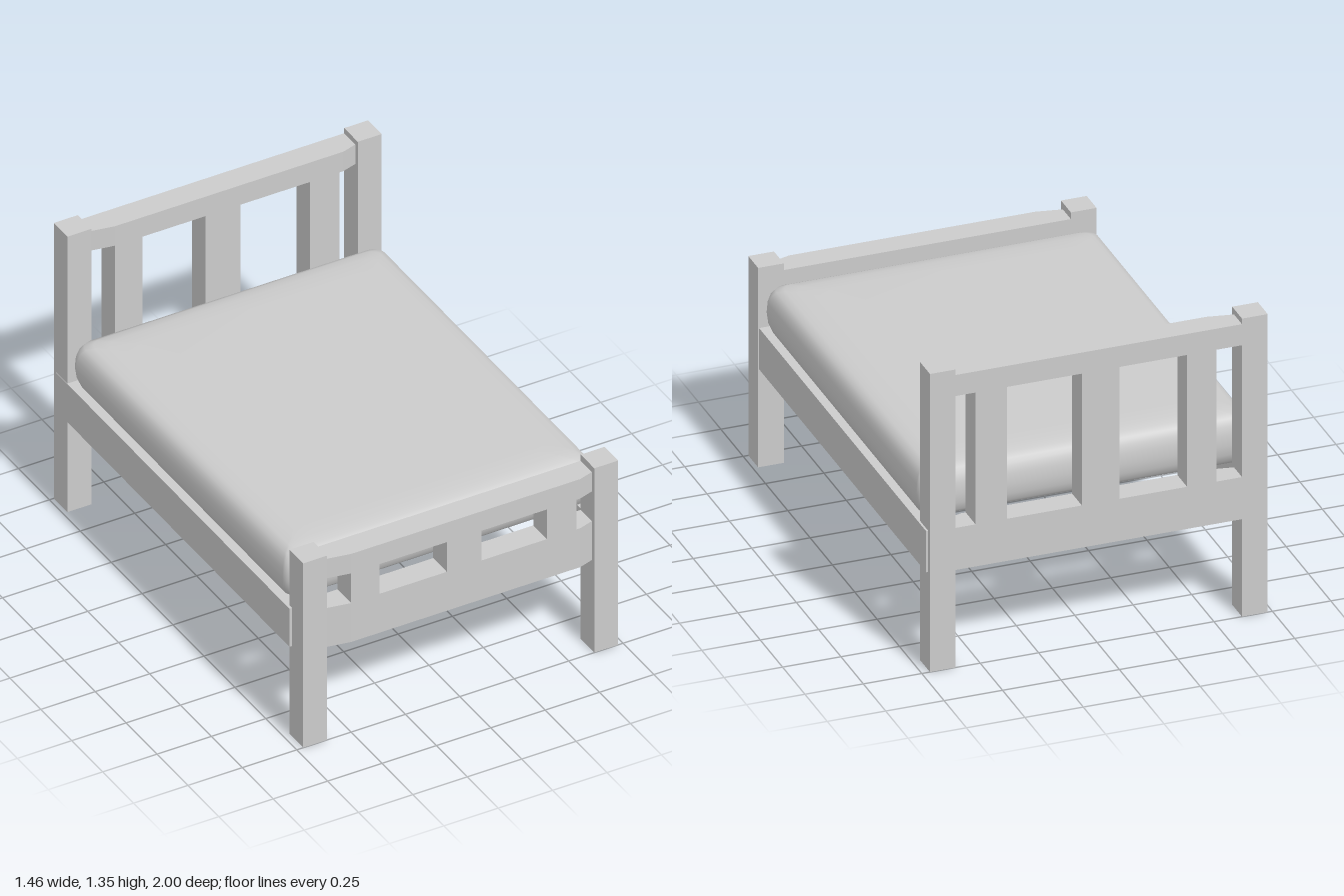
import * as THREE from 'three';

const material = new THREE.MeshStandardMaterial({ color: 0xcccccc, side: THREE.DoubleSide });

function add(parent, name, geometry) {
  const mesh = new THREE.Mesh(geometry, material);
  mesh.name = name;
  parent.add(mesh);
}

// Box given by its lower and upper limits on each axis
function box(parent, name, [x0, x1], [y0, y1], [z0, z1]) {
  const g = new THREE.BoxGeometry(x1 - x0, y1 - y0, z1 - z0);
  g.translate((x0 + x1) / 2, (y0 + y1) / 2, (z0 + z1) / 2);
  add(parent, name, g);
}

// Horizontal board whose front face tapers back towards the posts
function taperedBoard(parent, name, [x0, x1], [y0, y1], [z0, z1]) {
  const outline = [
    [x0, z0], [x1, z0], [x1, z1 - 0.02], [x1 - 0.065, z1], [x0 + 0.11, z1], [x0, z1 - 0.02],
  ];
  const shape = new THREE.Shape(outline.map(([x, z]) => new THREE.Vector2(x, -z)));
  const g = new THREE.ExtrudeGeometry(shape, { depth: y1 - y0, bevelEnabled: false });
  g.rotateX(-Math.PI / 2);
  g.translate(0, y0, 0);
  add(parent, name, g);
}

// Two posts, two cross boards and three slats
function endFrame(name, { x, z, height, top, windowTop, slats }) {
  const group = new THREE.Group();
  group.name = name;
  const post = 0.11;
  const inner = [x[0] + post, x[1] - post];
  box(group, 'rightPost', [x[0], inner[0]], [0, height], z);
  box(group, 'leftPost', [inner[1], x[1]], [0, height], z);
  taperedBoard(group, 'lowerBoard', inner, [0.44, 0.63], z);
  taperedBoard(group, 'topRail', inner, [windowTop, top], z);
  slats.forEach((s) => box(group, 'slat', s, [0.63, windowTop], z));
  return group;
}

// Soft mattress lofted through rounded rectangles of [inset, height]
function mattressGeometry() {
  const rings = [
    [0.07, 0.61], [0.035, 0.622], [0.018, 0.64], [0.005, 0.675], [0, 0.72],
    [0.003, 0.765], [0.012, 0.8], [0.028, 0.825], [0.055, 0.839], [0.1, 0.846], [0.18, 0.851],
  ];
  const halfX = 0.715, halfZ = 0.883, r = 0.05, steps = 6;
  const count = 4 * (steps + 1);
  const points = [], index = [];
  for (const [inset, y] of rings) {
    for (let c = 0; c < 4; c++) {
      const sx = c === 0 || c === 3 ? 1 : -1;
      const sz = c < 2 ? 1 : -1;
      for (let i = 0; i <= steps; i++) {
        const a = (c + i / steps) * Math.PI / 2;
        points.push(
          sx * (halfX - inset - r) + r * Math.cos(a), y,
          sz * (halfZ - inset - r) + r * Math.sin(a),
        );
      }
    }
  }
  for (let k = 0; k < rings.length - 1; k++) {
    for (let i = 0; i < count; i++) {
      const a = k * count + i, b = k * count + (i + 1) % count;
      index.push(a, a + count, b, b, a + count, b + count);
    }
  }
  // Caps
  const bottom = points.length / 3, last = (rings.length - 1) * count;
  points.push(0, 0.61, 0, 0, 0.853, 0);
  for (let i = 0; i < count; i++) {
    const j = (i + 1) % count;
    index.push(bottom, i, j, bottom + 1, last + j, last + i);
  }
  const g = new THREE.BufferGeometry();
  g.setAttribute('position', new THREE.Float32BufferAttribute(points, 3));
  g.setIndex(index);
  g.computeVertexNormals();
  g.translate(-0.003, 0, -0.005);
  return g;
}

export function createModel() {
  const bed = new THREE.Group();
  bed.name = 'bed';

  bed.add(endFrame('headboard', {
    x: [-0.73, 0.715], z: [-1, -0.89], height: 1.345, top: 1.32, windowTop: 1.225,
    slats: [[-0.51, -0.385], [-0.095, 0.065], [0.385, 0.52]],
  }));
  bed.add(endFrame('footboard', {
    x: [-0.72, 0.728], z: [0.89, 1], height: 0.9, top: 0.87, windowTop: 0.775,
    slats: [[-0.5, -0.37], [-0.06, 0.1], [0.4, 0.535]],
  }));

  // Side rails run just outside the headboard posts
  box(bed, 'rightRail', [-0.732, -0.632], [0.442, 0.628], [-0.98, 0.91]);
  box(bed, 'leftRail', [0.624, 0.724], [0.442, 0.628], [-0.98, 0.91]);

  add(bed, 'mattress', mattressGeometry());
  return bed;
}
